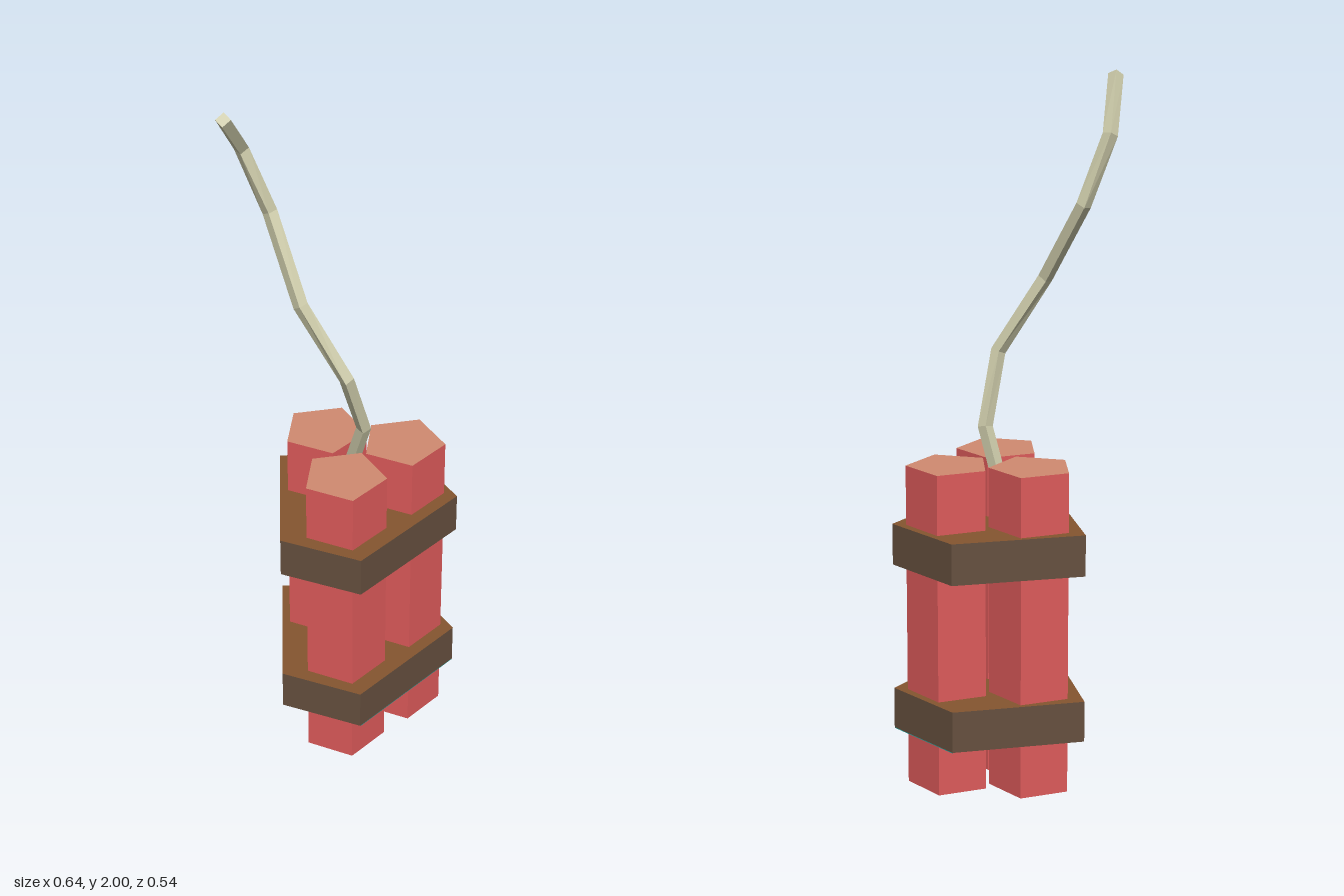
import * as THREE from 'three';

const mat = (name, color, side = THREE.FrontSide) => {
  const m = new THREE.MeshStandardMaterial({ color, side });
  m.name = name;
  return m;
};

// Hard facets: every face gets its own normals
function faceted(geometry) {
  const g = geometry.index ? geometry.toNonIndexed() : geometry;
  g.computeVertexNormals();
  return g;
}

// Strap outline, counter-clockwise from the front corner as [x, z]
const STRAP = [[0.08, 0.267], [0.32, -0.063], [0.163, -0.27], [-0.207, -0.205], [-0.153, 0.2]];

// Five-sided prism whose corners are moved onto the strap outline
function strapGeometry(height) {
  const g = new THREE.CylinderGeometry(1, 1, height, 5);
  const p = g.attributes.position;
  for (let i = 0; i < p.count; i++) {
    const x = p.getX(i), z = p.getZ(i);
    if (Math.hypot(x, z) < 0.5) continue;
    const k = (Math.round(Math.atan2(x, z) / (Math.PI * 2 / 5)) + 5) % 5;
    p.setX(i, STRAP[k][0]);
    p.setZ(i, STRAP[k][1]);
  }
  return faceted(g);
}

// Square cord lofted along a bent path, closed at both ends
function cordGeometry(points, radius) {
  const path = points.map((p) => new THREE.Vector3(...p));
  const rings = path.map((p, i) => {
    const a = path[Math.max(i - 1, 0)], b = path[Math.min(i + 1, path.length - 1)];
    const before = p.clone().sub(a).normalize(), after = b.clone().sub(p).normalize();
    const t = before.add(after).normalize();
    const u = new THREE.Vector3(1, 0, 0).addScaledVector(t, -t.x).normalize();
    const w = t.clone().cross(u);
    return [0, 1, 2, 3].map((k) => p.clone()
      .addScaledVector(u, radius * Math.cos(k * Math.PI / 2))
      .addScaledVector(w, radius * Math.sin(k * Math.PI / 2)));
  });
  const verts = [];
  const quad = (a, b, c, d) => verts.push(a, b, c, a, c, d);
  for (let i = 0; i < rings.length - 1; i++) {
    for (let k = 0; k < 4; k++) {
      const n = (k + 1) % 4;
      quad(rings[i][k], rings[i][n], rings[i + 1][n], rings[i + 1][k]);
    }
  }
  const first = rings[0], last = rings[rings.length - 1];
  quad(first[3], first[2], first[1], first[0]);
  quad(last[0], last[1], last[2], last[3]);
  return faceted(new THREE.BufferGeometry().setFromPoints(verts));
}

export function createModel() {
  const model = new THREE.Group();
  model.name = 'stickBundle';

  const red = mat('red', 0xdc5a5a);
  const salmon = mat('salmon', 0xd08a70);
  const darkBrown = mat('darkBrown', 0x654f3e);
  const brown = mat('brown', 0x85552f);
  const cordColor = mat('cord', 0xcbc9a8);
  const teal = mat('teal', 0x1c8480, THREE.DoubleSide);
  const grey = mat('grey', 0x8c8878, THREE.DoubleSide);

  const add = (name, geometry, material, x = 0, y = 0, z = 0) => {
    const mesh = new THREE.Mesh(geometry, material);
    mesh.name = name;
    mesh.position.set(x, y, z);
    model.add(mesh);
  };

  // Three five-sided sticks
  const stickHeight = 0.93;
  const stick = faceted(new THREE.CylinderGeometry(0.12, 0.12, stickHeight, 5, 1, false, Math.PI / 2));
  const sticks = [['backRightStick', -0.065, -0.109], ['backLeftStick', 0.162, -0.074], ['frontStick', 0.015, 0.108]];
  for (const [name, x, z] of sticks) {
    add(name, stick, [red, salmon, darkBrown], x, stickHeight / 2, z);
  }

  // Two straps around the bundle
  const strap = strapGeometry(0.118);
  add('lowerStrap', strap, [darkBrown, brown, darkBrown], 0, 0.218, 0);
  add('upperStrap', strap, [darkBrown, brown, darkBrown], 0, 0.701, 0);

  // Coloured patches beneath the lower strap
  const patch = (name, corners, material) => {
    const g = new THREE.BufferGeometry().setFromPoints(
      corners.map(([x, z]) => new THREE.Vector3(x, 0, z)));
    add(name, faceted(g), material, 0, 0.157, 0);
  };
  patch('undersidePatchLeft', [STRAP[2], STRAP[1], STRAP[0]], teal);
  patch('undersidePatchRight', [[-0.195, -0.13], [-0.1, 0.06], [-0.165, 0.1]], grey);

  // Bent fuse cord
  add('fuse', cordGeometry([
    [0.017, 0.86, -0.045], [0.058, 1.02, 0], [0.018, 1.22, 0.066], [-0.11, 1.43, 0.037],
    [-0.205, 1.65, -0.077], [-0.276, 1.84, -0.07], [-0.302, 1.988, 0.056],
  ], 0.021), cordColor);

  return model;
}
